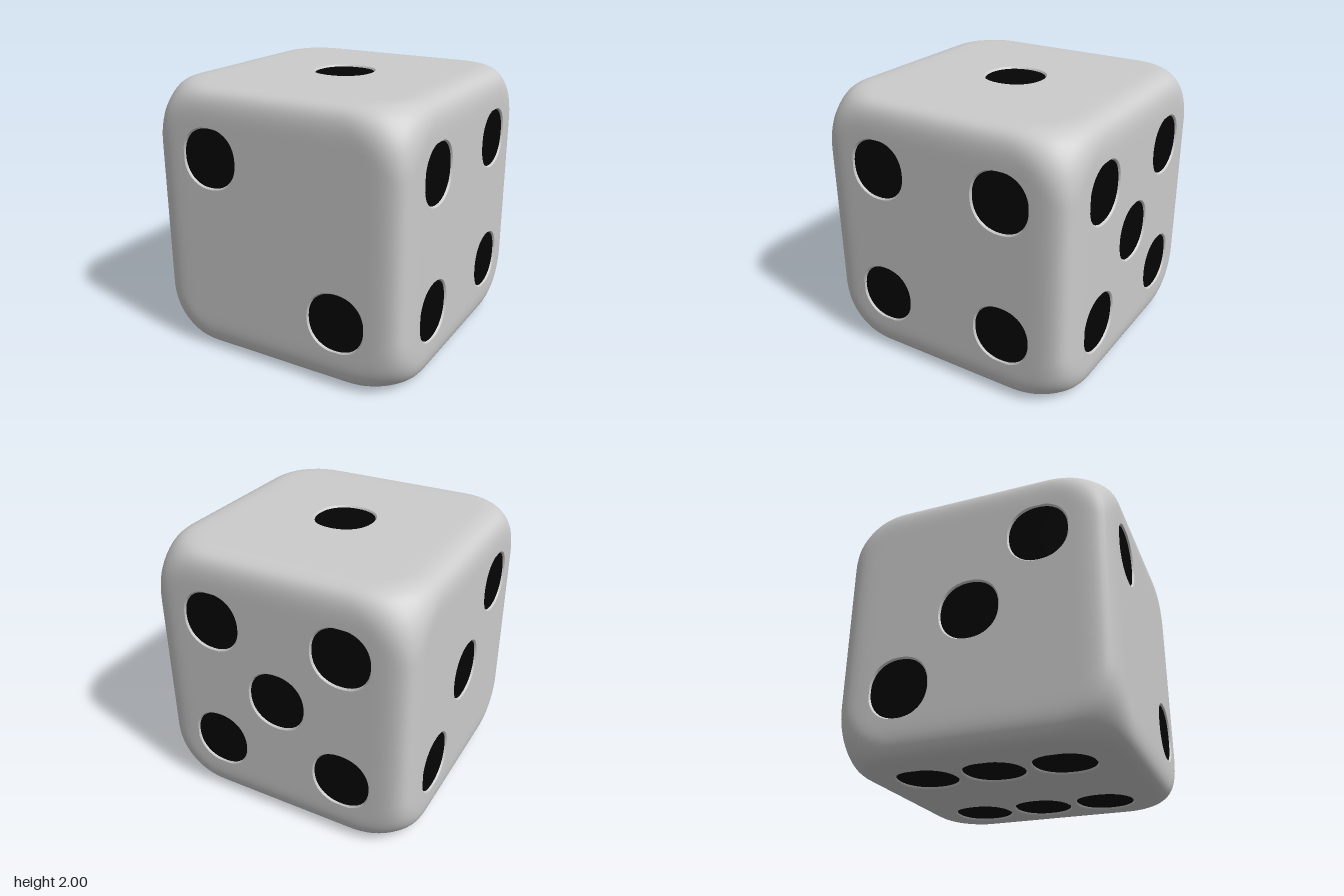
import * as THREE from 'three';
import { mergeVertices } from 'three/addons/utils/BufferGeometryUtils.js';

const FLAT = 0.72;          // half width of the flat part of each face
const ROUND = 1 - FLAT;     // width of the rounded border
const PIP = 0.213;          // pip half width
const RIM = 0.224;          // half width of the hole the pip sits in
const DEPTH = 0.014;        // how far the pip is sunk
const SEG = 48;

const grey = new THREE.MeshStandardMaterial({ color: 0xcccccc });
const black = new THREE.MeshStandardMaterial({ color: 0x040404 });

// Slightly squared circle: radius factor for an angle
const squircle = (a) =>
  Math.pow(Math.abs(Math.cos(a)) ** 2.2 + Math.abs(Math.sin(a)) ** 2.2, -1 / 2.2);

// Rounded edges and corners: a cube whose border is drawn in by a smooth rule
function roundedBorder() {
  const geo = new THREE.BoxGeometry(2, 2, 2, 50, 50, 50);
  geo.deleteAttribute('uv');
  geo.deleteAttribute('normal');
  const p = geo.attributes.position;

  // Leave out the flat centres, which the pipped panels fill
  const src = geo.index.array;
  const kept = [];
  for (let i = 0; i < src.length; i += 3) {
    const tri = [src[i], src[i + 1], src[i + 2]];
    const mid = [0, 1, 2].map((k) =>
      Math.abs(tri.reduce((sum, v) => sum + p.getComponent(v, k), 0) / 3));
    if (mid.filter((m) => m > FLAT).length > 1) kept.push(...tri);
  }
  geo.setIndex(kept);

  for (let i = 0; i < p.count; i++) {
    const v = [p.getX(i), p.getY(i), p.getZ(i)];
    const s = v.map((c) => Math.max(0, (Math.abs(c) - FLAT) / ROUND) ** 3);
    const all = s[0] * s[1] * s[2];
    // Round the edges
    const r = v.map((c, k) => Math.abs(c)
      - ROUND * (s[k] * (s[(k + 1) % 3] + s[(k + 2) % 3]) / 6 - all / 12));
    // Draw the corners in further along their diagonals
    const past = Math.max(0, r[0] + r[1] + r[2] - 2.456);
    const pull = 1.2 * past * past / 3;
    v.forEach((c, k) => p.setComponent(i, k, Math.sign(c) * (r[k] - pull)));
  }
  const merged = mergeVertices(geo, 1e-4);
  merged.computeVertexNormals();
  return merged;
}

// Squared dish facing +z, from [radius, height] points listed from the outside in
function dish(points) {
  const geo = new THREE.LatheGeometry(points.map(([r, y]) => new THREE.Vector2(r, y)), SEG);
  const p = geo.attributes.position;
  for (let i = 0; i < p.count; i++) {
    const k = squircle(Math.atan2(p.getZ(i), p.getX(i)));
    p.setX(i, p.getX(i) * k);
    p.setZ(i, p.getZ(i) * k);
  }
  return geo.rotateX(Math.PI / 2);
}

// Flat face panel with a hole for each pip
function panelGeometry(spots) {
  const f = FLAT;
  const shape = new THREE.Shape([[-f, -f], [f, -f], [f, f], [-f, f]]
    .map(([x, y]) => new THREE.Vector2(x, y)));
  for (const [x, y] of spots) {
    const ring = [];
    for (let i = 0; i < SEG; i++) {
      const a = -i / SEG * Math.PI * 2;
      const r = RIM * squircle(a);
      // keep the hole inside the panel
      ring.push(new THREE.Vector2(
        THREE.MathUtils.clamp(x + r * Math.cos(a), -f + 0.001, f - 0.001),
        THREE.MathUtils.clamp(y + r * Math.sin(a), -f + 0.001, f - 0.001)));
    }
    shape.holes.push(new THREE.Path(ring));
  }
  return new THREE.ShapeGeometry(shape);
}

export function createModel() {
  const model = new THREE.Group();
  model.name = 'die';

  const border = new THREE.Mesh(roundedBorder(), grey);
  border.name = 'roundedEdges';
  border.position.y = 1;
  model.add(border);

  const h = 0.5;
  const two = [[-h, h], [h, -h]];
  const three = [[h, h], [0, 0], [-h, -h]];
  const four = [[-h, h], [h, h], [-h, -h], [h, -h]];
  const Q = Math.PI / 2;
  // name, x turn, y turn, pip positions
  const faces = [
    ['frontFace', 0, 0, two],
    ['rightFace', 0, Q, four],
    ['backFace', 0, 2 * Q, [...four, [0, 0]]],
    ['leftFace', 0, -Q, three],
    ['topFace', -Q, 0, [[0, 0]]],
    ['bottomFace', Q, 0, [...four, [-h, 0], [h, 0]]],
  ];

  const lipGeo = dish([[RIM, 0], [0.219, -0.004], [PIP, -DEPTH]]);
  const pipGeo = dish([[PIP, -DEPTH], [0, -DEPTH]]);
  for (const [name, rx, ry, spots] of faces) {
    const face = new THREE.Group();
    face.name = name;
    face.rotation.set(rx, ry, 0);
    face.position.y = 1;

    const panel = new THREE.Mesh(panelGeometry(spots), grey);
    panel.name = 'panel';
    panel.position.z = 1;
    face.add(panel);

    for (const [x, y] of spots) {
      const lip = new THREE.Mesh(lipGeo, grey);
      lip.name = 'pipLip';
      const pip = new THREE.Mesh(pipGeo, black);
      pip.name = 'pip';
      for (const part of [lip, pip]) {
        part.position.set(x, y, 1);
        face.add(part);
      }
    }
    model.add(face);
  }
  return model;
}
